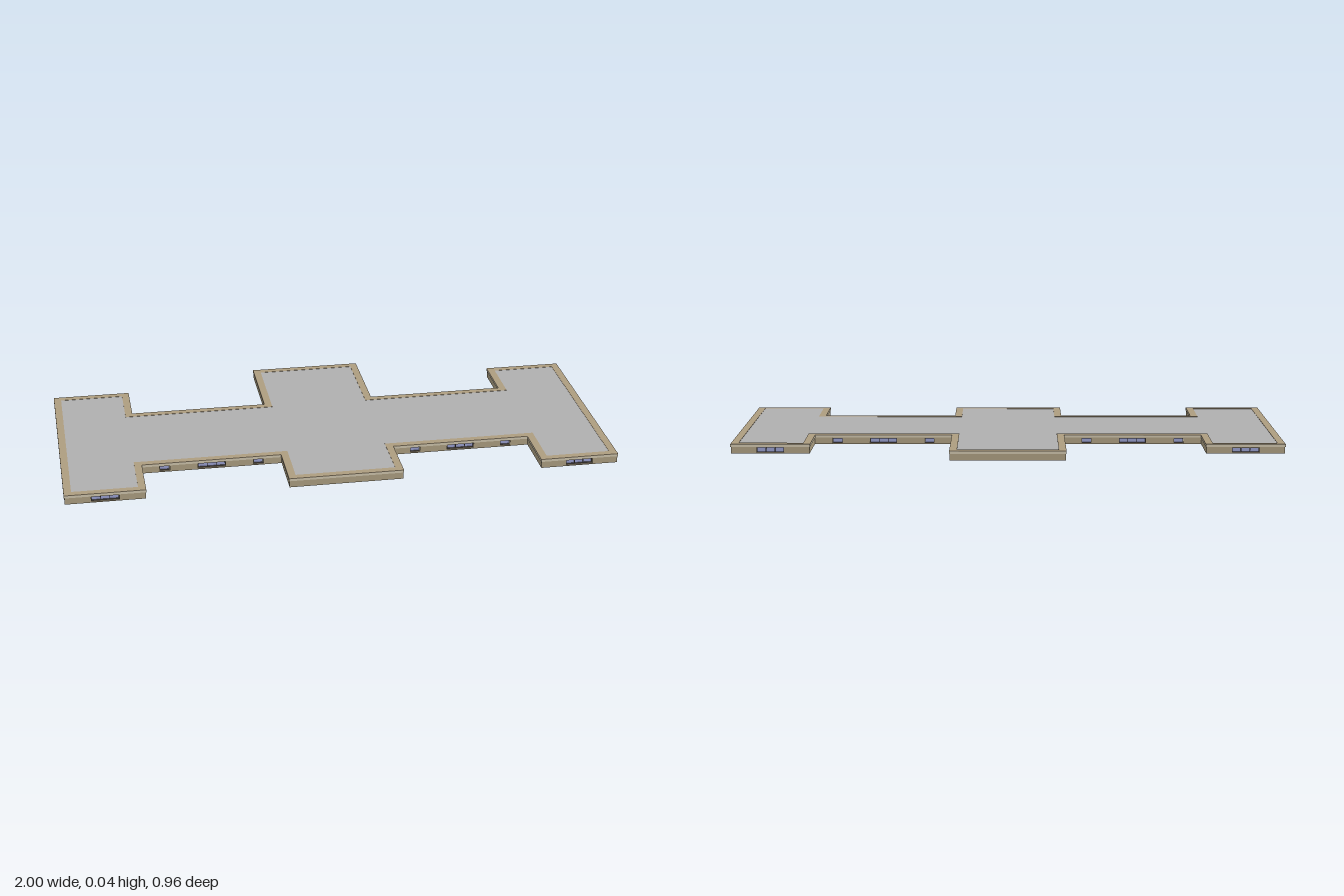
import * as THREE from 'three';

const mat = (color) => new THREE.MeshStandardMaterial({ color, side: THREE.DoubleSide });
const wallMat = mat(0xad9f82), trimMat = mat(0xcfc5ad), copingMat = mat(0xae9d80);
const roofMat = mat(0xb0b0b0), glassMat = mat(0x9aa0d0), frameMat = mat(0x57504a);

const T = 0.025;          // wall thickness
const WALL_TOP = 0.025, TOP = 0.035;

// Right half of the plan, counter-clockwise in (x, -z), mirrored for the left half
const half = [
  [0.2075, -0.48], [0.2075, -0.285], [0.7125, -0.285], [0.7125, -0.48], [1, -0.48],
  [1, 0.345], [0.7125, 0.345], [0.7125, 0.155], [0.2075, 0.155], [0.2075, 0.48],
];
const plan = [...half, ...half.map(([x, y]) => [-x, y]).reverse()].map(([x, y]) => new THREE.Vector2(x, y));

const at = (pts, i) => pts[(i + pts.length) % pts.length];
const dir = (pts, i) => at(pts, i + 1).clone().sub(at(pts, i)).normalize();

// Moves every side of a right-angled outline inward by d
function inset(pts, d) {
  return pts.map((p, i) => {
    const a = dir(pts, i - 1), b = dir(pts, i);
    return new THREE.Vector2(p.x - (a.y + b.y) * d, p.y + (a.x + b.x) * d);
  });
}

// Flat plate or ring lying between two heights
function plate(name, outer, inner, y0, y1, material) {
  const shape = new THREE.Shape(outer);
  if (inner) shape.holes.push(new THREE.Path(inner));
  const geo = new THREE.ExtrudeGeometry(shape, { depth: y1 - y0, bevelEnabled: false });
  geo.rotateX(-Math.PI / 2).translate(0, y0, 0);
  const mesh = new THREE.Mesh(geo, material);
  mesh.name = name;
  return mesh;
}

function rect(Type, x0, y0, x1, y1) {
  return new Type([[x0, y0], [x1, y0], [x1, y1], [x0, y1]].map(([x, y]) => new THREE.Vector2(x, y)));
}

function box(name, w, h, d, x, y, z, material) {
  const mesh = new THREE.Mesh(new THREE.BoxGeometry(w, h, d), material);
  mesh.position.set(x, y, z);
  mesh.name = name;
  return mesh;
}

// Glass set back in the opening, with a frame and upright bars
function makeWindow(x, w, y0, y1) {
  const g = new THREE.Group();
  g.name = 'window';
  const h = y1 - y0, y = (y0 + y1) / 2, bar = 0.002, panes = w > 0.06 ? 3 : 1;
  g.add(box('glass', w, h, 0.002, x, y, -T / 2, glassMat));
  for (const s of [-1, 1]) {
    g.add(box('frameRail', w, bar, 0.006, x, y + s * (h - bar) / 2, -0.008, frameMat));
  }
  for (let i = 0; i <= panes; i++) {
    const bx = x - (w - bar) / 2 + (w - bar) * i / panes;
    g.add(box('frameBar', bar, h, 0.006, bx, y, -0.008, panes > 1 ? frameMat : trimMat));
  }
  return g;
}

// Window positions along a wall, measured from its middle
function windowsFor(length, middleX) {
  if (length > 0.7) return [[0, 0.098], [-0.235, 0.037], [0.235, 0.037]];
  if (length > 0.45) return [[0, 0.1], [-0.17, 0.037], [0.17, 0.037]];
  if (length > 0.25 && Math.abs(middleX) > 0.5) return [[0, 0.098]];
  return [];
}

export function createModel() {
  const model = new THREE.Group();
  model.name = 'buildingStorey';

  // Walls, one per side of the plan, with real openings
  const outline = inset(plan, 0.002);
  outline.forEach((a, i) => {
    const b = at(outline, i + 1), d = dir(outline, i), next = dir(outline, i + 1);
    const length = a.distanceTo(b), mid = a.clone().add(b).multiplyScalar(0.5);
    const extra = d.cross(next) < 0 ? T : 0; // fill the inside of a re-entrant corner
    const shape = rect(THREE.Shape, -length / 2, 0, length / 2 + extra, WALL_TOP);
    const wall = new THREE.Group();
    wall.name = 'wall';
    for (const [x, w] of windowsFor(length, mid.x)) {
      const y0 = 0.004, y1 = 0.0225;
      shape.holes.push(rect(THREE.Path, x - w / 2, y0, x + w / 2, y1));
      wall.add(makeWindow(x, w, y0, y1));
    }
    const geo = new THREE.ExtrudeGeometry(shape, { depth: T, bevelEnabled: false }).translate(0, 0, -T);
    const panel = new THREE.Mesh(geo, wallMat);
    panel.name = 'wallPanel';
    wall.add(panel);
    wall.position.set(mid.x, 0, -mid.y);
    wall.rotation.y = Math.atan2(d.y, d.x);
    model.add(wall);
  });

  // Light band and coping around the top, with the flat roof inside them
  const inner = inset(plan, T + 0.002);
  model.add(plate('trimBand', plan, inner, WALL_TOP, TOP - 0.001, trimMat));
  model.add(plate('coping', plan, inner, TOP - 0.001, TOP, copingMat));
  model.add(plate('roofSlab', inner, null, TOP - 0.004, TOP - 0.001, roofMat));
  return model;
}
